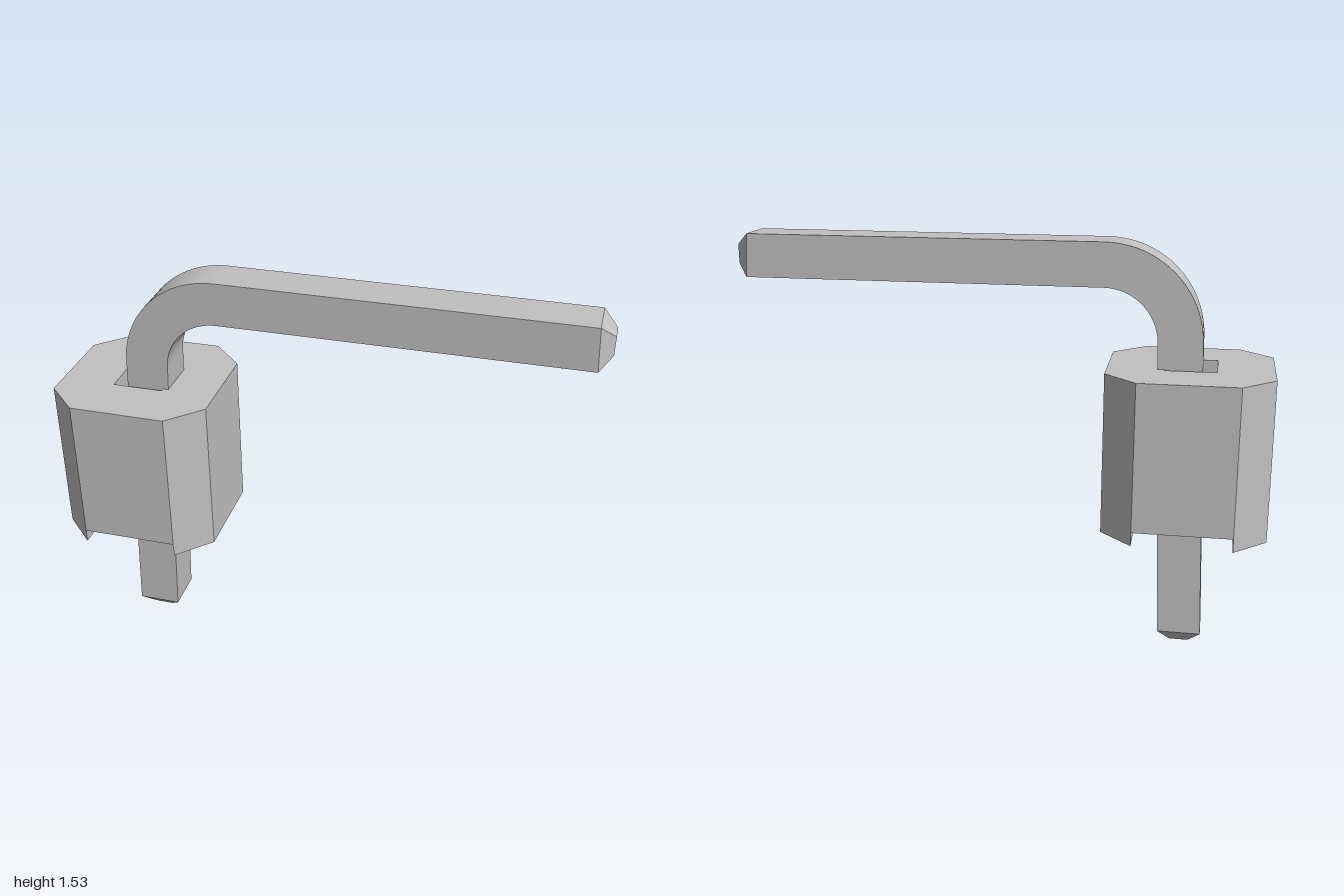
import * as THREE from 'three';
import { toCreasedNormals } from 'three/addons/utils/BufferGeometryUtils.js';

const grey = new THREE.MeshStandardMaterial({ color: 0xc0c0c0 });
grey.name = 'grey';

const CX = -0.7; // housing centre

// Upright prism from an [x, z] outline, between two heights
function prism(points, y0, y1, hole) {
  const shape = new THREE.Shape(points.map(([x, z]) => new THREE.Vector2(x, -z)));
  if (hole) shape.holes.push(new THREE.Path(hole.map(([x, z]) => new THREE.Vector2(x, -z))));
  const geo = new THREE.ExtrudeGeometry(shape, { depth: y1 - y0, bevelEnabled: false });
  return geo.rotateX(-Math.PI / 2).translate(0, y0, 0);
}

// Square bar swept through stations { x, y, angle, h: half size }
function sweepBar(stations) {
  const pos = [];
  const rings = stations.map(({ x, y, angle, h }) =>
    [[1, 1], [-1, 1], [-1, -1], [1, -1]].map(([n, z]) =>
      [x - Math.sin(angle) * n * h, y + Math.cos(angle) * n * h, z * h]));
  const quad = (a, b, c, d) => pos.push(...a, ...b, ...c, ...a, ...c, ...d);
  for (let i = 0; i < rings.length - 1; i++) {
    for (let k = 0; k < 4; k++) {
      const m = (k + 1) % 4;
      quad(rings[i][k], rings[i][m], rings[i + 1][m], rings[i + 1][k]);
    }
  }
  const [s, e] = [rings[0], rings[rings.length - 1]];
  quad(s[3], s[2], s[1], s[0]);
  quad(e[0], e[1], e[2], e[3]);
  const geo = new THREE.BufferGeometry();
  geo.setAttribute('position', new THREE.Float32BufferAttribute(pos, 3));
  return toCreasedNormals(geo, 0.5);
}

export function createModel() {
  const model = new THREE.Group();
  model.name = 'rightAnglePin';
  const add = (name, geo, parent) => {
    const mesh = new THREE.Mesh(geo, grey);
    mesh.name = name;
    parent.add(mesh);
  };

  // Housing: chamfered block with a square through hole and two bottom ridges
  const housing = new THREE.Group();
  housing.name = 'housing';
  model.add(housing);
  const octagon = [[0.18, 0.3], [0.3, 0.18], [0.3, -0.18], [0.18, -0.3],
    [-0.18, -0.3], [-0.3, -0.18], [-0.3, 0.18], [-0.18, 0.3]].map(([x, z]) => [CX + x, z]);
  const hole = [[-1, -1], [1, -1], [1, 1], [-1, 1]].map(([x, z]) => [CX + x * 0.095, z * 0.095]);
  add('housingBlock', prism(octagon, 0.53, 1.08, hole), housing);
  add('leftRidge', prism(octagon.slice(0, 4), 0.48, 0.53), housing);
  add('rightRidge', prism(octagon.slice(4), 0.48, 0.53), housing);

  // Pin: tapered tip, leaning leg, quarter bend, horizontal arm, tapered tip
  const H = 0.081, TIP = 0.035, R = 0.28, up = Math.PI / 2;
  const stations = [
    { x: -0.7, y: 0, angle: up, h: TIP },
    { x: -0.7, y: 0.05, angle: up, h: H },
  ];
  const steps = 20;
  for (let i = 0; i <= steps; i++) {
    const t = (i / steps) * up;
    stations.push({ x: -0.38 - R * Math.cos(t), y: 1.17 + R * Math.sin(t), angle: up - t, h: H });
  }
  stations.push({ x: 0.952, y: 1.45, angle: 0.06, h: H });
  stations.push({ x: 1, y: 1.45, angle: 0, h: TIP });
  add('pin', sweepBar(stations), model);

  return model;
}
